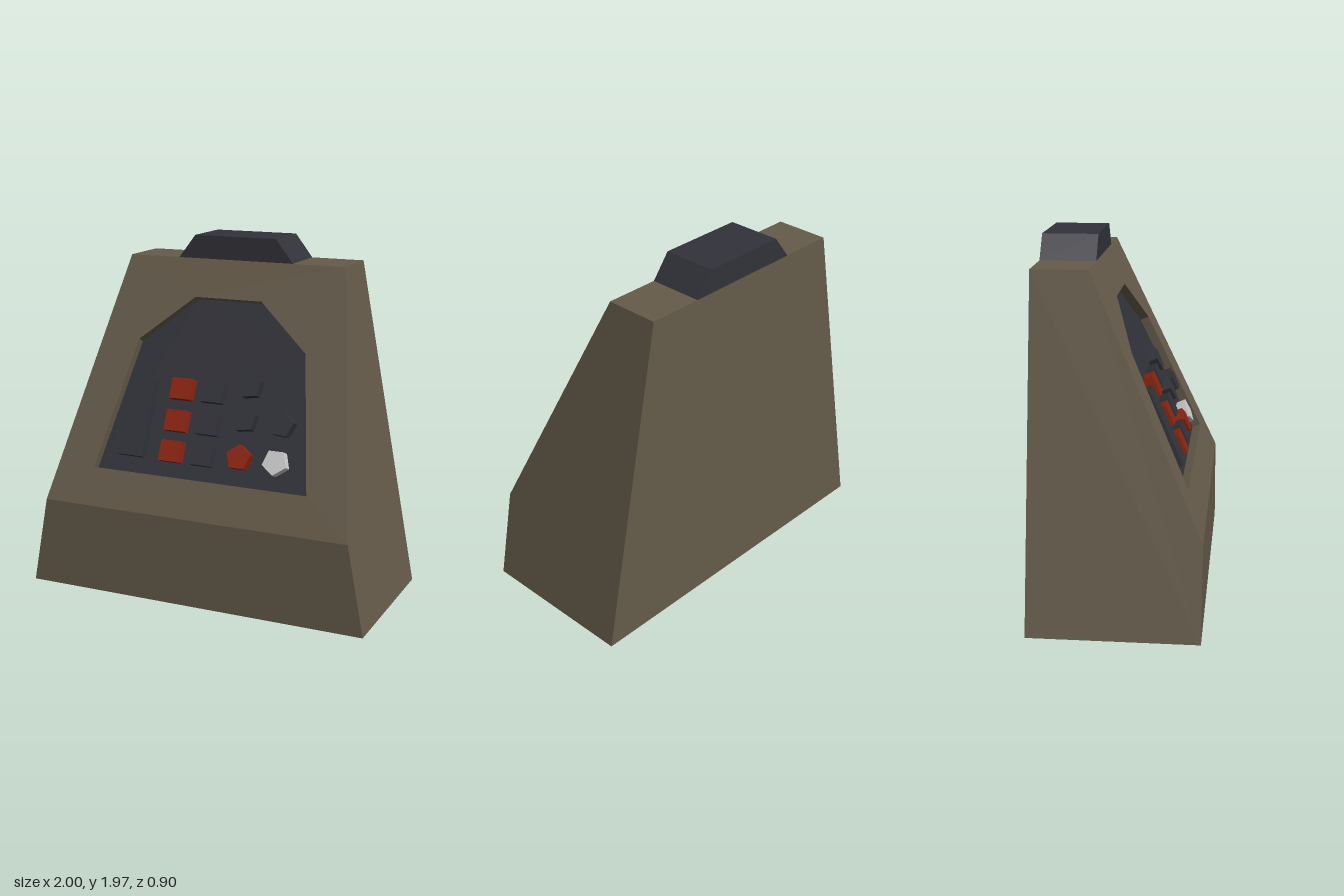
import * as THREE from 'three';

const paint = (color) => new THREE.MeshStandardMaterial({ color, flatShading: true });

// Triangle-fan convex polygons into one flat geometry
function fromPolygons(polys) {
  const pos = [];
  for (const p of polys)
    for (let i = 1; i < p.length - 1; i++) pos.push(...p[0], ...p[i], ...p[i + 1]);
  const g = new THREE.BufferGeometry();
  g.setAttribute('position', new THREE.Float32BufferAttribute(pos, 3));
  g.computeVertexNormals();
  return g;
}

export function createModel() {
  const model = new THREE.Group();
  const brown = paint(0x655b4a), dark = paint(0x32333a), red = paint(0x8c2410), white = paint(0xcccccc);
  const add = (parent, name, geo, mat, x = 0, y = 0, z = 0) => {
    const m = new THREE.Mesh(geo, mat);
    m.name = name;
    m.position.set(x, y, z);
    parent.add(m);
    return m;
  };

  // Tapered housing: [y, z] side profile, width shrinking with height
  const halfWidth = (y) => 1 - 0.35 * y / 1.84;
  const profile = [[0, 0.45], [0.5, 0.45], [1.84, -0.15], [1.84, -0.45], [0, -0.45]];
  const corner = (side, [y, z]) => [side * halfWidth(y), y, z];
  const faces = [
    profile.map((p) => corner(-1, p)),
    profile.map((p) => corner(1, p)).reverse(),
  ];
  profile.forEach((a, i) => {
    const b = profile[(i + 1) % profile.length];
    if (i !== 1) faces.push([corner(-1, a), corner(1, a), corner(1, b), corner(-1, b)]);
  });
  add(model, 'housing', fromPolygons(faces), brown);

  // Sloped console: local y runs up the slope, local z points out of it
  const slope = Math.hypot(1.34, 0.6), stretch = slope / 1.34, depth = 0.05;
  const up = (y) => (y - 0.5) * stretch;
  const consoleGroup = new THREE.Group();
  consoleGroup.name = 'slopedConsole';
  consoleGroup.position.set(0, 0.5, 0.45);
  consoleGroup.rotation.x = -Math.atan2(0.6, 1.34);
  model.add(consoleGroup);

  // Slope face with the panel opening
  const outline = [[-0.64, 0.7], [0.64, 0.7], [0.505, 1.39], [0.2, 1.635], [-0.2, 1.635], [-0.505, 1.39]]
    .map(([x, y]) => new THREE.Vector2(x, up(y)));
  const [wLow, wTop] = [halfWidth(0.5), halfWidth(1.84)];
  const face = new THREE.Shape([[-wLow, 0], [wLow, 0], [wTop, slope], [-wTop, slope]]
    .map(([x, y]) => new THREE.Vector2(x, y)));
  face.holes.push(new THREE.Path(outline));
  add(consoleGroup, 'slopeFace', new THREE.ShapeGeometry(face), brown);

  // Recess walls and floor
  const walls = outline.map((a, i) => {
    const b = outline[(i + 1) % outline.length];
    return [[a.x, a.y, 0], [b.x, b.y, 0], [b.x, b.y, -depth], [a.x, a.y, -depth]];
  });
  add(consoleGroup, 'recessWalls', fromPolygons(walls), brown);
  add(consoleGroup, 'controlPanel', new THREE.ShapeGeometry(new THREE.Shape(outline)), dark, 0, 0, -depth);

  // Rectangular keys
  const high = 0.055, mid = high / 2 - depth;
  const key = (name, x, y, w, h, mat) =>
    add(consoleGroup, name, new THREE.BoxGeometry(w, h * stretch, high), mat, x, up(y), mid);
  key('longKey', -0.43, 0.985, 0.15, 0.4, dark);
  [1.155, 0.99, 0.833].forEach((y, i) => {
    key(`redKey${i + 1}`, -0.187, y, 0.127, 0.108, red);
    key(`darkKey${i + 1}`, 0.002, y, 0.127, 0.108, dark);
  });

  // Five-sided buttons: x, y, direction of one point in degrees, material
  [
    [0.215, 1.205, 98, dark], [0.215, 1.035, 98, dark], [0.22, 0.842, 90, red],
    [0.435, 1.03, 85, dark], [0.433, 0.842, -90, white],
  ].forEach(([x, y, turn, mat], i) => {
    const g = new THREE.CylinderGeometry(0.073, 0.073, high, 5);
    g.rotateX(Math.PI / 2).rotateZ(THREE.MathUtils.degToRad(turn + 90));
    add(consoleGroup, `pentagonButton${i + 1}`, g, mat, x, up(y), mid);
  });

  // Bevelled cap on top
  const cap = new THREE.Shape([[-0.345, 1.84], [0.345, 1.84], [0.245, 1.97], [-0.245, 1.97]]
    .map(([x, y]) => new THREE.Vector2(x, y)));
  add(model, 'topCap', new THREE.ExtrudeGeometry(cap, { depth: 0.3, bevelEnabled: false }), dark, 0, 0, -0.45);

  return model;
}
